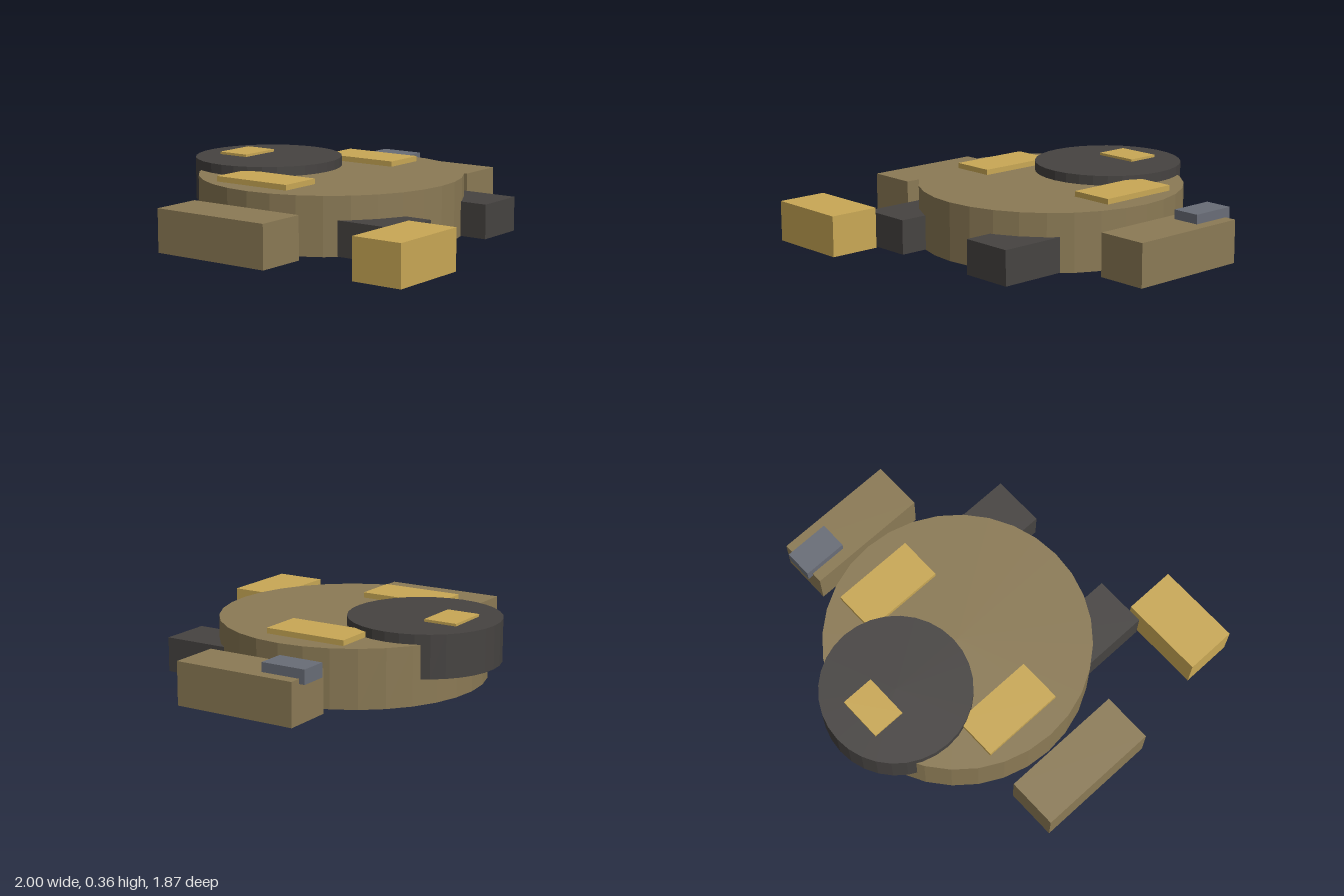
import * as THREE from 'three';

const material = (name, color) => {
  const m = new THREE.MeshStandardMaterial({ color, flatShading: true });
  m.name = name;
  return m;
};

export function createModel() {
  const model = new THREE.Group();
  model.name = 'flatFigure';
  const olive = material('olive', 0x8b7a55);
  const charcoal = material('charcoal', 0x464341);
  const gold = material('gold', 0xc9a855);
  const slate = material('slate', 0x696d77);

  const add = (name, geometry, mat, x, y, z) => {
    const mesh = new THREE.Mesh(geometry, mat);
    mesh.name = name;
    mesh.position.set(x, y, z);
    model.add(mesh);
  };
  // Box given by its limits along each axis
  const box = (name, mat, [x0, x1], [y0, y1], [z0, z1]) =>
    add(name, new THREE.BoxGeometry(x1 - x0, y1 - y0, z1 - z0), mat,
      (x0 + x1) / 2, (y0 + y1) / 2, (z0 + z1) / 2);
  // Upright disc between two heights
  const disc = (name, mat, r, y0, y1, z) =>
    add(name, new THREE.CylinderGeometry(r, r, y1 - y0, 32), mat, 0, (y0 + y1) / 2, z);

  // Round body and overlapping head disc
  disc('body', olive, 0.685, 0, 0.3, -0.133);
  disc('head', charcoal, 0.387, 0.13, 0.35, -0.548);
  box('headPlate', gold, [-0.118, 0.118], [0.34, 0.363], [-0.787, -0.61]);

  // Paired parts
  for (const [side, s] of [['left', 1], ['right', -1]]) {
    const span = (a, b) => (s > 0 ? [a, b] : [-b, -a]);
    box(side + 'Arm', olive, span(0.733, 1), [0.01, 0.23], [-0.427, 0.228]);
    box(side + 'Foot', charcoal, span(0.247, 0.525), [0.002, 0.18], [0.25, 0.653]);
    box(side + 'ShoulderPlate', gold, span(0.33, 0.562), [0.28, 0.328], [-0.427, 0.015]);
  }

  // Single accessories: small block on the left arm, loose block at the front
  box('armBlock', slate, [0.79, 0.937], [0.205, 0.278], [-0.457, -0.218]);
  box('frontBlock', gold, [-0.897, -0.45], [0, 0.21], [0.663, 0.932]);

  return model;
}
